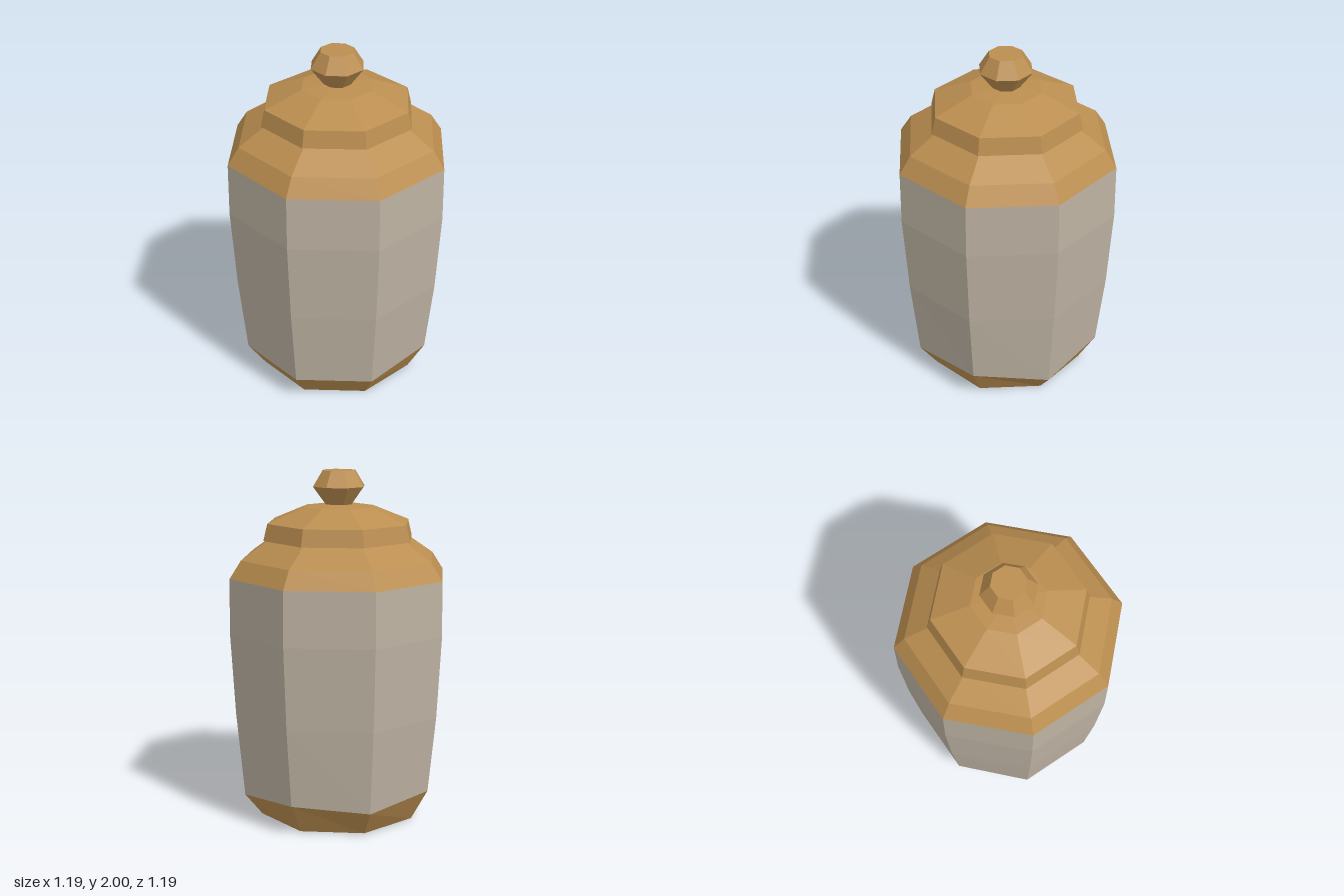
import * as THREE from 'three';

const SIDES = 8;
const CORNER = Math.cos(Math.PI / SIDES);

export function createModel() {
  const wood = new THREE.MeshStandardMaterial({ color: 0xbb8e50, flatShading: true });
  wood.name = 'ochre';
  const clay = new THREE.MeshStandardMaterial({ color: 0xbdb2a2, flatShading: true });
  clay.name = 'stone grey';

  const jar = new THREE.Group();
  jar.name = 'jar';

  // Eight-sided turned part; profile is [half width across flats, height], bottom to top
  function turned(name, profile, material, adjust) {
    const points = profile.map(([w, y]) => new THREE.Vector2(w / CORNER, y));
    const geometry = new THREE.LatheGeometry(points, SIDES, Math.PI / SIDES);
    if (adjust) {
      const p = geometry.attributes.position;
      for (let i = 0; i < p.count; i++) {
        const column = Math.floor(i / points.length) % SIDES;
        p.setY(i, adjust(p.getY(i), column));
      }
    }
    const flat = geometry.toNonIndexed();
    flat.computeVertexNormals();
    const mesh = new THREE.Mesh(flat, material);
    mesh.name = name;
    jar.add(mesh);
  }

  // Uneven seam between foot and body, one height per corner
  const SEAM = 0.15;
  const seamHeights = [0.15, 0.15, 0.185, 0.13, 0.18, 0.15, 0.185, 0.15];
  const waver = (y, column) => (Math.abs(y - SEAM) < 1e-4 ? seamHeights[column] : y);

  turned('foot', [[0, 0], [0.437, 0], [0.531, SEAM]], wood, waver);
  turned('body', [[0.531, SEAM], [0.573, 0.63], [0.597, 1.1], [0.593, 1.41]], clay, waver);
  turned('shoulder', [[0.593, 1.41], [0.532, 1.51], [0.39, 1.615]], wood);
  turned('lid', [[0, 1.615], [0.411, 1.615], [0.389, 1.71], [0.19, 1.797], [0.07, 1.81], [0, 1.81]], wood);
  turned('knob', [[0, 1.805], [0.07, 1.805], [0.142, 1.91], [0.09, 2], [0, 2]], wood);

  return jar;
}
